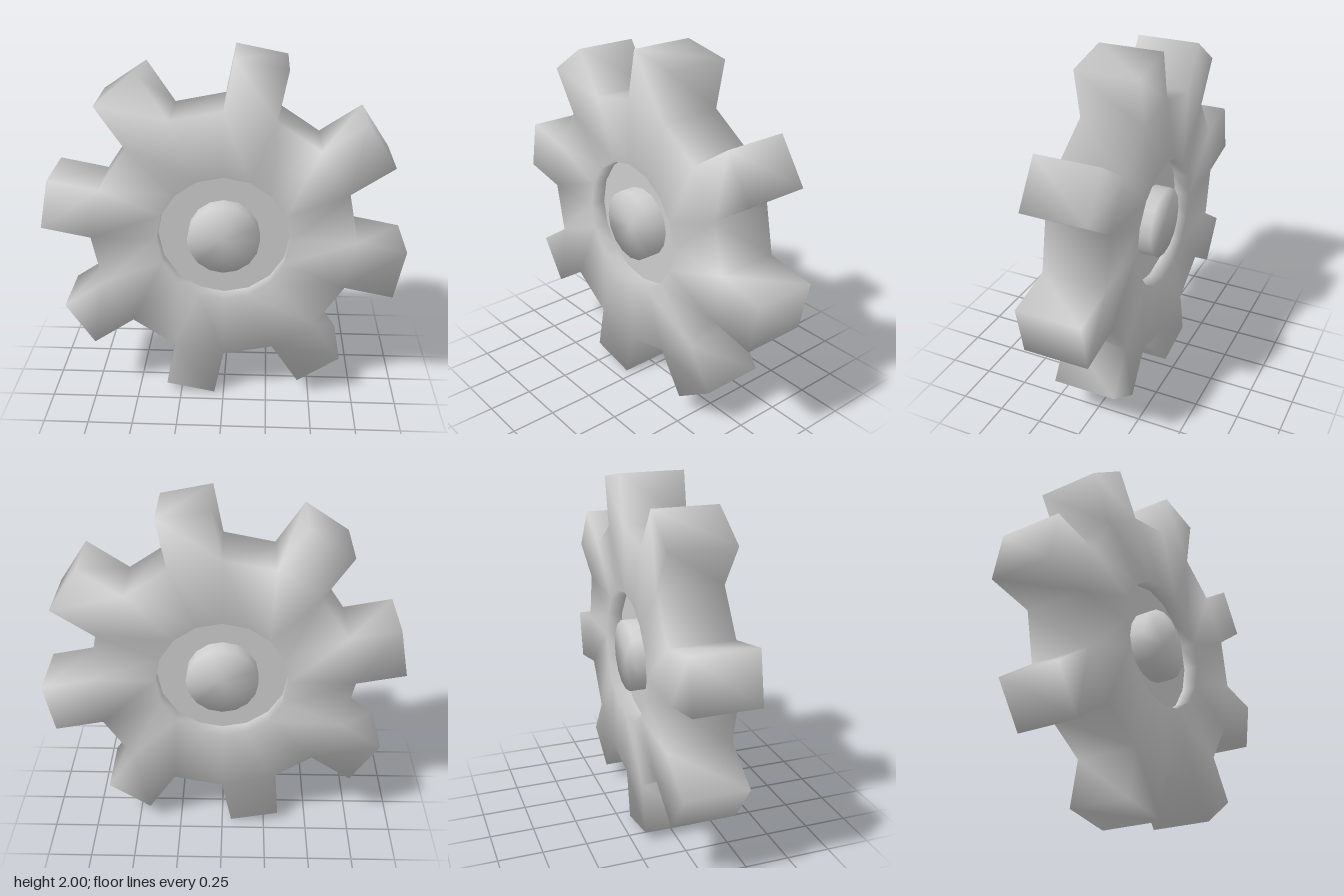
import * as THREE from 'three';
import { mergeVertices } from 'three/addons/utils/BufferGeometryUtils.js';

const SIDES = 16, STEP = (Math.PI * 2) / SIDES;
const HALF = 0.18;      // half thickness of the gear
const FLOOR = 0.09;     // half thickness of the recessed web
const ROOT = 0.73, BORE = 0.366, HUB = 0.2, TOOTH = 0.276;

const material = new THREE.MeshStandardMaterial({ color: 0xcccccc });

// Weld shared corners so normals run smoothly over the edges
function smooth(geometry) {
  geometry.deleteAttribute('uv');
  geometry.deleteAttribute('normal');
  const welded = mergeVertices(geometry, 1e-4);
  welded.computeVertexNormals();
  return welded;
}

// Corner i of a ring
const corner = (r, i) => new THREE.Vector2(Math.cos(i * STEP) * r, Math.sin(i * STEP) * r);

function gearGeometry() {
  const points = [];
  const add = (...list) => list.forEach(([p, z]) => points.push(p.x, p.y, z));
  const quad = (a, b, c, d) => add(a, b, c, a, c, d);
  // Same quad on the front and, reversed, on the back
  const faces = (a, b, c, d) => {
    quad([a, HALF], [b, HALF], [c, HALF], [d, HALF]);
    quad([d, -HALF], [c, -HALF], [b, -HALF], [a, -HALF]);
  };
  // Wall through the full thickness, facing right of the walk a -> b
  const wall = (a, b) => quad([a, -HALF], [b, -HALF], [b, HALF], [a, HALF]);

  for (let i = 0; i < SIDES; i++) {
    const in0 = corner(BORE, i), in1 = corner(BORE, i + 1);
    const out0 = corner(ROOT, i), out1 = corner(ROOT, i + 1);
    faces(in0, out0, out1, in1);

    // Recess walls on both sides of the web
    quad([in0, HALF], [in1, HALF], [in1, FLOOR], [in0, FLOOR]);
    quad([in0, -FLOOR], [in1, -FLOOR], [in1, -HALF], [in0, -HALF]);

    // A straight tooth on every second side
    if (i % 2 === 1) {
      const push = corner(TOOTH, i + 0.5);
      const tip0 = out0.clone().add(push), tip1 = out1.clone().add(push);
      faces(out0, tip0, tip1, out1);
      wall(out0, tip0);
      wall(tip0, tip1);
      wall(tip1, out1);
    } else {
      wall(out0, out1);
    }
  }
  const geometry = new THREE.BufferGeometry();
  geometry.setAttribute('position', new THREE.Float32BufferAttribute(points, 3));
  return smooth(geometry);
}

export function createModel() {
  const model = new THREE.Group();
  const part = (name, geometry) => {
    const mesh = new THREE.Mesh(geometry, material);
    mesh.name = name;
    model.add(mesh);
    return mesh;
  };

  // Toothed rim
  part('toothedRim', gearGeometry());

  // Recessed flat web on both sides
  for (const side of [1, -1]) {
    const web = part(side > 0 ? 'frontWeb' : 'backWeb', new THREE.RingGeometry(HUB * 0.95, BORE, SIDES));
    web.position.z = side * FLOOR;
    if (side < 0) web.rotation.y = Math.PI;
  }

  // Central hub, flush with the rim faces
  const hub = new THREE.CylinderGeometry(HUB, HUB, HALF * 2, SIDES).rotateX(Math.PI / 2);
  part('hub', smooth(hub));

  model.position.y = 1;
  const root = new THREE.Group();
  root.name = 'gear';
  root.add(model);
  return root;
}
